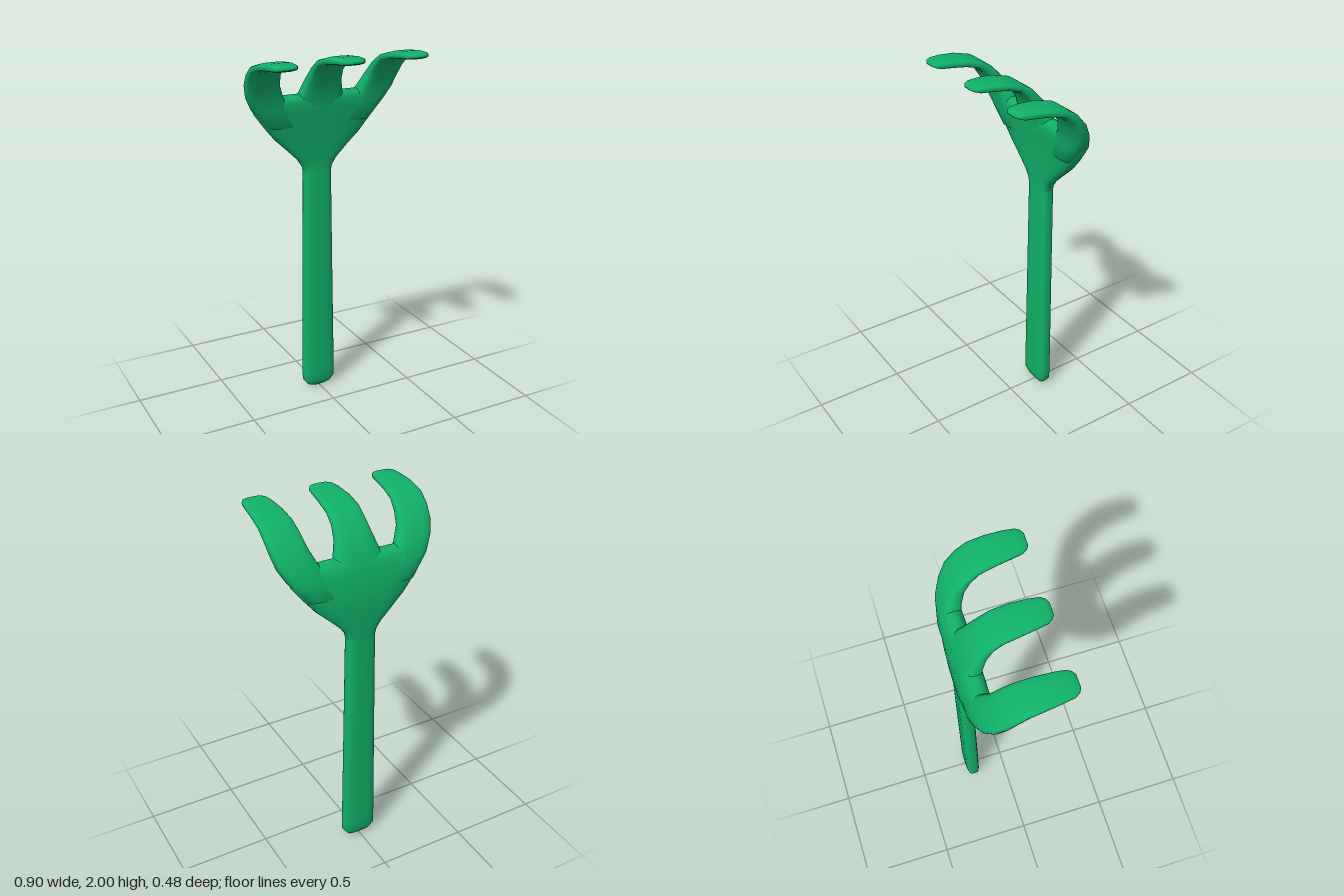
import * as THREE from 'three';

const SIDES = 28;

// Skins rounded-rectangle sections.
// Each section: [xMin, xMax, frontY, frontZ, backY, backZ]
function loft(name, sections, material, capStart = true) {
  const pos = [], idx = [];
  const soft = (v) => Math.sign(v) * Math.pow(Math.abs(v), 0.62);
  for (const [x0, x1, fy, fz, by, bz] of sections) {
    for (let i = 0; i < SIDES; i++) {
      const a = (i / SIDES) * Math.PI * 2;
      const u = 0.5 + 0.5 * soft(Math.cos(a));
      const v = 0.5 + 0.5 * soft(Math.sin(a));
      pos.push(x0 + (x1 - x0) * u, by + (fy - by) * v, bz + (fz - bz) * v);
    }
  }
  const last = sections.length - 1;
  for (let r = 0; r < last; r++) {
    for (let i = 0; i < SIDES; i++) {
      const n = (i + 1) % SIDES;
      const a = r * SIDES + i, b = r * SIDES + n, c = a + SIDES, d = b + SIDES;
      idx.push(a, c, b, b, c, d);
    }
  }
  // End caps
  const cap = (r, flip) => {
    const [x0, x1, fy, fz, by, bz] = sections[r];
    const centre = pos.length / 3;
    pos.push((x0 + x1) / 2, (fy + by) / 2, (fz + bz) / 2);
    for (let i = 0; i < SIDES; i++) {
      const a = r * SIDES + i, b = r * SIDES + (i + 1) % SIDES;
      if (flip) idx.push(centre, b, a);
      else idx.push(centre, a, b);
    }
  };
  if (capStart) cap(0, false);
  cap(last, true);

  const geo = new THREE.BufferGeometry();
  geo.setAttribute('position', new THREE.Float32BufferAttribute(pos, 3));
  geo.setIndex(idx);
  geo.computeVertexNormals();
  const mesh = new THREE.Mesh(geo, material);
  mesh.name = name;
  return mesh;
}

// Level section centred on x = 0
const level = ([y, half, front, back]) => [-half, half, y, front, y, back];

export function createModel() {
  const group = new THREE.Group();
  group.name = 'handRake';
  const green = new THREE.MeshStandardMaterial({ color: 0x10b068 });
  green.name = 'green';

  // Flat handle, slightly wider at the butt: [y, half width, front z, back z]
  group.add(loft('handle', [
    [0.005, 0.03, -0.185, -0.205],
    [0.022, 0.072, -0.168, -0.222],
    [0.055, 0.096, -0.156, -0.234],
    [0.10, 0.097, -0.155, -0.235],
    [0.70, 0.088, -0.155, -0.235],
    [1.33, 0.079, -0.155, -0.235],
    [1.38, 0.077, -0.157, -0.233],
  ].map(level), green));

  // Palm flaring out from the neck, rounded off between the tines
  group.add(loft('palm', [
    [1.33, 0.079, -0.155, -0.235],
    [1.36, 0.086, -0.155, -0.236],
    [1.40, 0.113, -0.152, -0.238],
    [1.46, 0.175, -0.146, -0.241],
    [1.53, 0.25, -0.139, -0.242],
    [1.60, 0.308, -0.131, -0.239],
    [1.68, 0.37, -0.120, -0.226],
    [1.73, 0.385, -0.113, -0.212],
    [1.755, 0.33, -0.122, -0.195],
    [1.768, 0.30, -0.142, -0.175],
  ].map(level), green, false));

  // Arched path shared by the tines: [front y, front z, back y, back z]
  const arch = [
    [1.60, -0.132, 1.60, -0.238],
    [1.70, -0.117, 1.71, -0.220],
    [1.76, -0.105, 1.79, -0.186],
    [1.83, -0.080, 1.86, -0.148],
    [1.89, -0.045, 1.92, -0.093],
    [1.93, 0.000, 1.965, -0.030],
    [1.95, 0.070, 1.99, 0.060],
    [1.96, 0.150, 2.00, 0.150],
    [1.965, 0.205, 2.00, 0.205],
    [1.972, 0.228, 1.996, 0.228],
    [1.977, 0.240, 1.99, 0.240],
  ];
  const centreHalf = [0.15, 0.145, 0.122, 0.10, 0.09, 0.088, 0.085, 0.076, 0.067, 0.052, 0.033];
  const innerEdge = [0.12, 0.175, 0.222, 0.253, 0.265, 0.274, 0.281, 0.29, 0.298, 0.312, 0.33];
  const outerEdge = [0.30, 0.383, 0.422, 0.441, 0.449, 0.45, 0.447, 0.439, 0.431, 0.417, 0.398];

  group.add(loft('centreTine', arch.map((p, i) => [-centreHalf[i], centreHalf[i], ...p]), green));
  group.add(loft('leftTine', arch.map((p, i) => [innerEdge[i], outerEdge[i], ...p]), green));
  group.add(loft('rightTine', arch.map((p, i) => [-outerEdge[i], -innerEdge[i], ...p]), green));

  return group;
}
